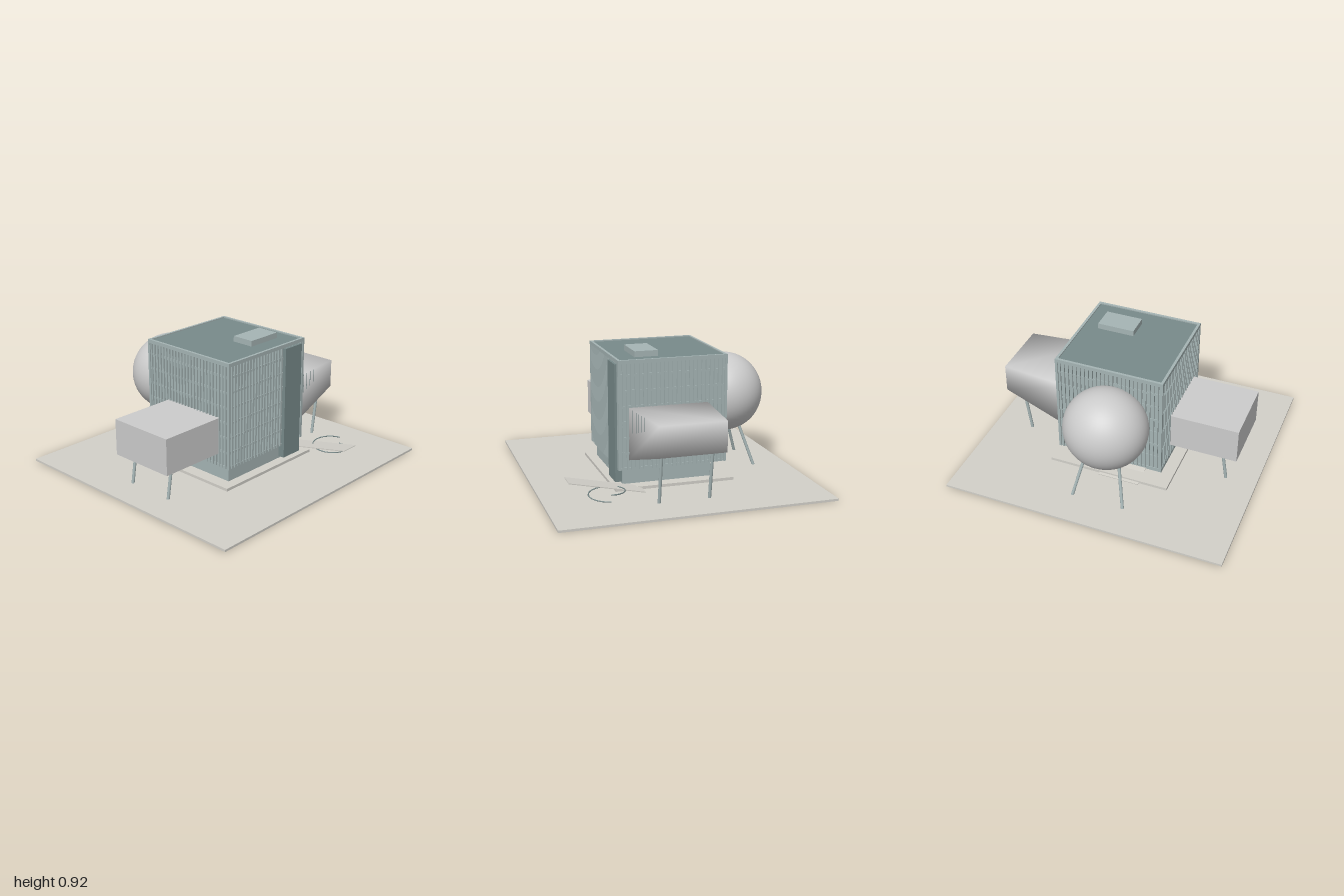
import * as THREE from 'three';
import { mergeVertices } from 'three/addons/utils/BufferGeometryUtils.js';

const mat = (color, side = THREE.FrontSide) => new THREE.MeshStandardMaterial({ color, side });
const grey = mat(0xcccccc);
const stone = mat(0xd2d0c9);
const facade = mat(0xa5b4b4);
const slate = mat(0x788a8a);

export function createModel() {
  const model = new THREE.Group();

  const add = (name, geometry, material, parent = model) => {
    const mesh = new THREE.Mesh(geometry, material);
    mesh.name = name;
    parent.add(mesh);
    return mesh;
  };

  // box given by its limits on each axis
  const block = (name, [x0, x1], [y0, y1], [z0, z1], material, parent) => {
    const mesh = add(name, new THREE.BoxGeometry(x1 - x0, y1 - y0, z1 - z0), material, parent);
    mesh.position.set((x0 + x1) / 2, (y0 + y1) / 2, (z0 + z1) / 2);
    return mesh;
  };

  // round strut between two points
  const strut = (name, from, to, radius = 0.011) => {
    const a = new THREE.Vector3(...from), b = new THREE.Vector3(...to);
    const dir = b.clone().sub(a);
    const mesh = add(name, new THREE.CylinderGeometry(radius, radius, dir.length(), 12), facade);
    mesh.position.copy(a).add(b).multiplyScalar(0.5);
    mesh.quaternion.setFromUnitVectors(new THREE.Vector3(0, 1, 0), dir.normalize());
  };

  // thin slab sloping along z
  const slope = (name, [x0, x1], [ya, za], [yb, zb], thickness, material) => {
    const mesh = add(name, new THREE.BoxGeometry(x1 - x0, thickness, Math.hypot(yb - ya, zb - za)), material);
    mesh.position.set((x0 + x1) / 2, (ya + yb) / 2, (za + zb) / 2);
    mesh.rotation.x = -Math.atan2(yb - ya, zb - za);
  };

  // site and podium
  block('ground', [-1, 1], [0, 0.015], [-0.93, 0.93], stone);
  block('plinth', [-0.44, 0.435], [0.015, 0.035], [-0.42, 0.42], stone);
  block('recessedBase', [-0.35, 0.35], [0.035, 0.15], [-0.28, 0.35], facade);

  // main cube: core, floor bands and mullions on all four sides
  const R = 0.383;
  const cube = new THREE.Group();
  cube.name = 'mainCube';
  model.add(cube);
  block('core', [-0.371, 0.371], [0.14, 0.878], [-0.371, 0.371], facade, cube);
  block('roof', [-0.365, 0.365], [0.876, 0.882], [-0.365, 0.365], slate, cube);
  for (let side = 0; side < 4; side++) {
    const wall = new THREE.Group();
    wall.name = 'facade';
    wall.rotation.y = side * Math.PI / 2;
    cube.add(wall);
    block('parapet', [-R, R], [0.865, 0.89], [0.365, R], facade, wall);
    for (let i = 0; i < 7; i++) {
      const y = 0.14 + i * 0.1065;
      block('floorBand', [-0.376, 0.376], [y, y + 0.016], [0.365, 0.376], facade, wall);
    }
    for (let i = 0; i <= 26; i++) {
      const x = -0.379 + i * 0.758 / 26;
      block('mullion', [x - 0.004, x + 0.004], [0.14, 0.87], [0.365, R], facade, wall);
    }
  }
  block('roofHut', [0, 0.262], [0.88, 0.922], [0.07, 0.235], facade);
  block('frontShaft', [0.17, 0.34], [0.05, 0.86], [0.34, 0.397], slate);

  // box hall on the right
  block('boxHall', [-0.86, -0.37], [0.235, 0.49], [-0.195, 0.29], grey);

  // tapered hall on the left, softened by shared normals
  const taper = new THREE.BoxGeometry(1, 1, 1);
  taper.deleteAttribute('normal');
  taper.deleteAttribute('uv');
  const p = taper.attributes.position;
  for (let i = 0; i < p.count; i++) {
    const outer = p.getX(i) > 0;
    const bottom = outer ? 0.362 : 0.205;
    const z = p.getZ(i) > 0 ? (outer ? 0.255 : 0.308) : (outer ? -0.195 : -0.246);
    p.setXYZ(i, outer ? 0.877 : 0.37, p.getY(i) > 0 ? 0.568 : bottom, z);
  }
  const hallGeometry = mergeVertices(taper);
  hallGeometry.computeVertexNormals();
  add('taperedHall', hallGeometry, grey);
  [0.44, 0.5, 0.54, 0.585, 0.635].forEach((x, i) => {
    const z = 0.308 - (x - 0.37) * 0.105;
    block('wallFin', [x - 0.002, x + 0.002], [0.41 + i * 0.015, 0.565], [z - 0.01, z + 0.002], slate);
  });

  // legs of both halls
  for (const z of [0.21, -0.135]) {
    strut('boxHallLeg', [-0.78, 0.012, z], [-0.743, 0.245, z]);
    strut('taperedHallLeg', [0.725, 0.012, z], [0.773, 0.345, z]);
  }

  // globe hall at the back
  const globe = add('globeHall', new THREE.SphereGeometry(1, 48, 32), grey);
  globe.scale.set(0.291, 0.282, 0.274);
  globe.position.set(-0.037, 0.533, -0.52);
  for (const s of [-1, 1]) {
    strut('globeLeg', [-0.037 + s * 0.185, 0.012, -0.69], [-0.037 + s * 0.12, 0.32, -0.59]);
  }

  // entrance ramps
  slope('entranceSlab', [0.395, 0.53], [0.025, 0.24], [0.137, 0.757], 0.006, stone);
  slope('backRamp', [-0.235, 0.06], [0.018, -0.44], [0.038, -0.28], 0.005, stone);

  // one turn of a rising spiral
  const turn = [];
  for (let i = 0; i <= 24; i++) {
    const a = i / 24 * Math.PI * 2;
    turn.push(new THREE.Vector3(0.55 + 0.12 * Math.cos(a), 0.036 + 0.046 * i / 24, 0.512 + 0.12 * Math.sin(a)));
  }
  add('spiralRamp', new THREE.TubeGeometry(new THREE.CatmullRomCurve3(turn), 72, 0.004, 6), slate);

  return model;
}
